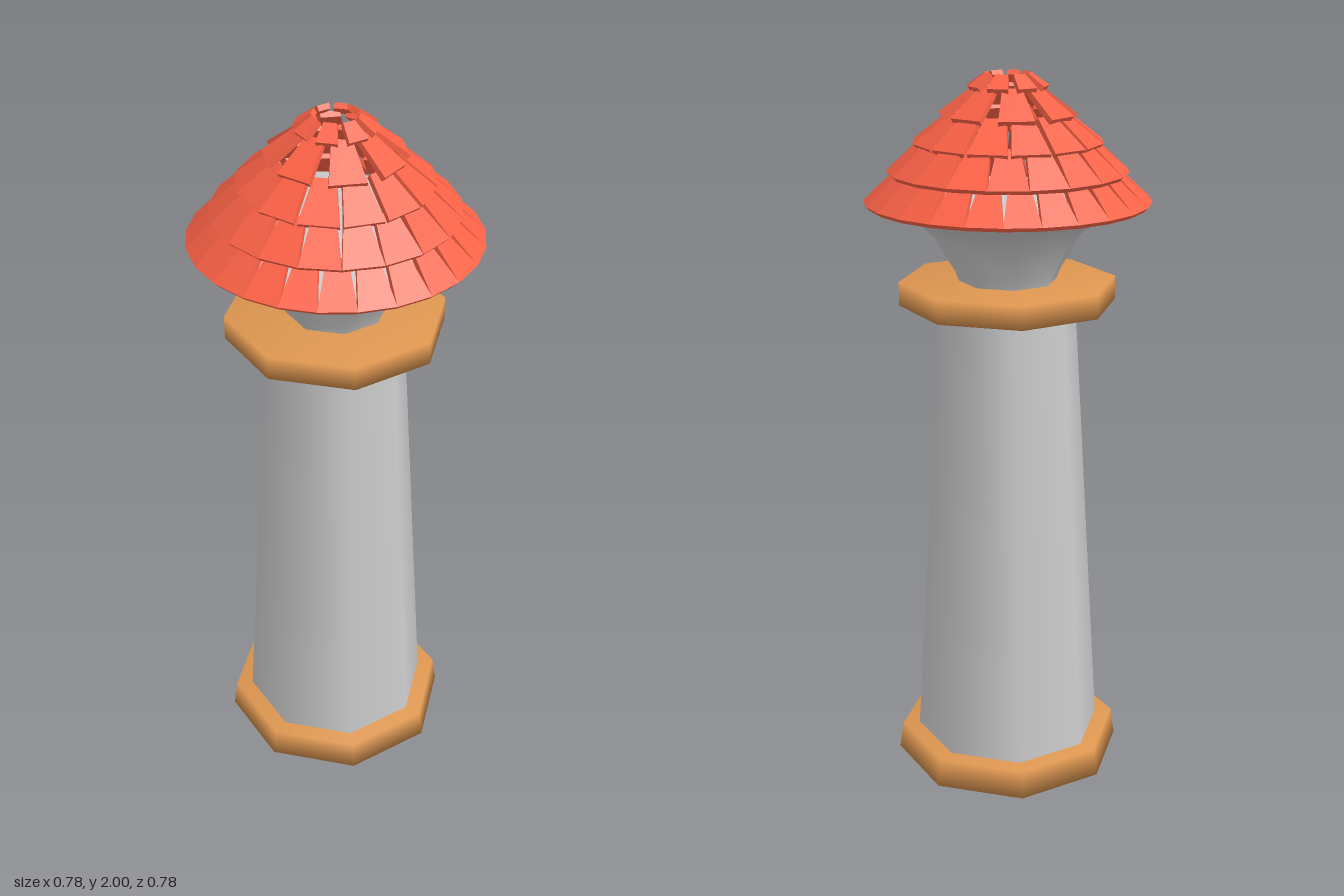
import * as THREE from 'three';

const stone = new THREE.MeshStandardMaterial({ color: 0xcccccc, side: THREE.DoubleSide });
const wood = new THREE.MeshStandardMaterial({ color: 0xdd9650 });
const clay = new THREE.MeshStandardMaterial({ color: 0xff6347 });

// Eight-sided turned part from a [radius, height] profile
function turned(name, profile, material) {
  const points = profile.map(([r, y]) => new THREE.Vector2(r, y));
  const mesh = new THREE.Mesh(new THREE.LatheGeometry(points, 8), material);
  mesh.name = name;
  return mesh;
}

// Flat roof tile that narrows towards its upper edge
function tileGeometry(length, lowerWidth, upperWidth, thickness) {
  const geo = new THREE.BoxGeometry(1, length, thickness);
  const pos = geo.attributes.position;
  for (let i = 0; i < pos.count; i++) {
    pos.setX(i, pos.getX(i) * (pos.getY(i) < 0 ? lowerWidth : upperWidth));
  }
  return geo;
}

// One ring of sloping tiles
function tileRow({ count, lower, upper, widths, offset = 0 }) {
  const row = new THREE.Group();
  row.name = 'roofTileRow';
  const [r0, y0] = lower, [r1, y1] = upper;
  const thickness = 0.015;
  const slope = Math.atan2(r0 - r1, y1 - y0);
  const geo = tileGeometry(Math.hypot(r0 - r1, y1 - y0), ...widths, thickness);
  geo.translate(0, 0, -thickness / 2);
  geo.rotateX(-slope);
  geo.translate(0, (y0 + y1) / 2, (r0 + r1) / 2);
  for (let i = 0; i < count; i++) {
    const tile = new THREE.Mesh(geo, clay);
    tile.name = 'roofTile';
    tile.rotation.y = Math.PI / 2 + ((i + offset) / count) * Math.PI * 2;
    row.add(tile);
  }
  return row;
}

export function createModel() {
  const model = new THREE.Group();
  model.name = 'tower';

  // Plinth, tapering shaft and collar
  model.add(turned('base', [[0, 0], [0.33, 0], [0.318, 0.08], [0, 0.08]], wood));
  model.add(turned('shaft', [[0.27, 0.07], [0.188, 1.39]], stone));
  model.add(turned('collar', [[0, 1.38], [0.3, 1.38], [0.3, 1.445], [0, 1.445]], wood));

  // Flared head with a low cap inside the roof
  model.add(turned('flaredHead', [
    [0.13, 1.43], [0.145, 1.47], [0.2, 1.565], [0.25, 1.61], [0.31, 1.645], [0.375, 1.665], [0, 1.69],
  ], stone));

  // Overlapping tile rows, eaves to crown
  const roof = new THREE.Group();
  roof.name = 'roof';
  [
    { count: 25, lower: [0.386, 1.665], upper: [0.29, 1.755], widths: [0.098, 0.054] },
    { count: 19, lower: [0.322, 1.745], upper: [0.23, 1.83], widths: [0.106, 0.06] },
    { count: 14, lower: [0.252, 1.822], upper: [0.155, 1.9], widths: [0.104, 0.056] },
    { count: 8, lower: [0.18, 1.895], upper: [0.085, 1.967], widths: [0.096, 0.052] },
    { count: 8, lower: [0.106, 1.967], upper: [0.06, 2.0], widths: [0.056, 0.034], offset: 0.5 },
  ].forEach((row) => roof.add(tileRow(row)));
  model.add(roof);

  return model;
}
